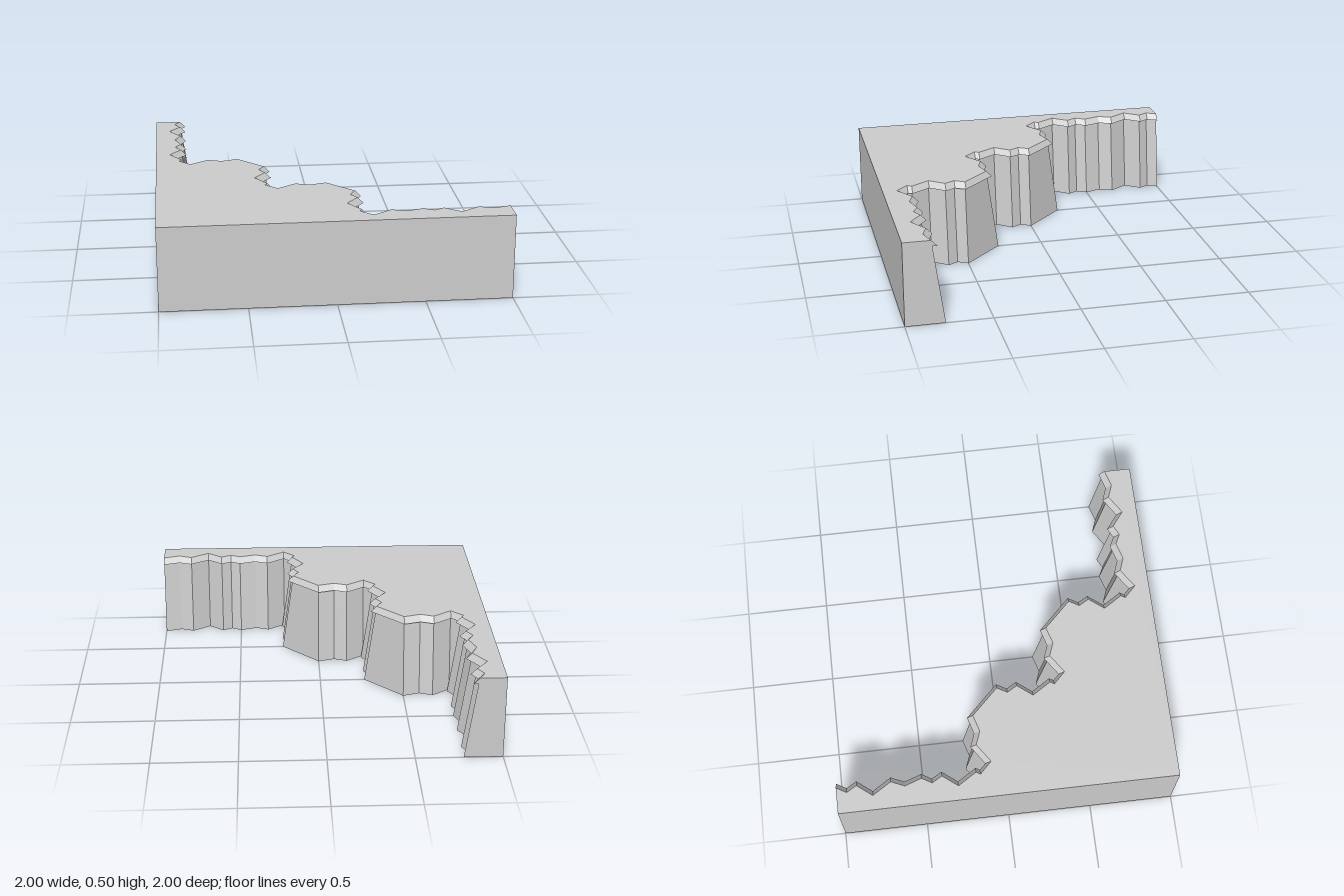
import * as THREE from 'three';

// Foot of the cliff as [x, z, kind]; kind 'v' recedes toward -x, 'h' toward +z.
const tag = (points, kind) => points.map(([x, z]) => [x, z, kind]);
const shift = (points, s) => points.map(([x, z]) => [x + s, z + s]);

function cliffLine() {
  // One step of the corner, repeated diagonally every half unit
  const stepV = [[-0.275, 0], [-0.31, 0.06], [-0.275, 0.12], [-0.345, 0.21], [-0.275, 0.32], [-0.29, 0.345]];
  const stepH = [[-0.29, 0.345], [-0.18, 0.27], [-0.1, 0.3], [0, 0.27]];
  const start = [[-0.775, -1], [-0.81, -0.94], [-0.775, -0.88], [-0.845, -0.79], [-0.775, -0.68], [-0.81, -0.6]];
  const end = [[0.56, 0.8], [0.62, 0.77], [0.71, 0.84], [0.82, 0.77], [0.9, 0.8], [1, 0.77]];
  const line = tag(start, 'v');
  for (const s of [-0.5, 0, 0.5]) line.push(...tag(shift(stepV, s), 'v'), ...tag(shift(stepH, s), 'h'));
  return line.concat(tag(end, 'h'));
}

const LINE = cliffLine();

// Closed outline at height y with the cliff set back by an inset
function ring(inset, y) {
  const pts = LINE.map(([x, z, kind]) =>
    kind === 'v' ? new THREE.Vector3(x - inset, y, z) : new THREE.Vector3(x, y, z + inset));
  for (const [x, z] of [[1, 1], [-1, 1], [-1, -1]]) pts.push(new THREE.Vector3(x, y, z));
  return pts;
}

// Side faces between two outlines
function band(lower, upper, count = lower.length) {
  const tris = [];
  for (let i = 0; i < count; i++) {
    const j = (i + 1) % lower.length;
    tris.push(lower[i], upper[i], upper[j], lower[i], upper[j], lower[j]);
  }
  return tris;
}

// Flat face filling an outline, facing up or down
function cap(outline, up) {
  const flat = outline.map((p) => new THREE.Vector2(p.x, p.z));
  const tris = [];
  for (const [a, b, c] of THREE.ShapeUtils.triangulateShape(flat, [])) {
    const cross = flat[b].clone().sub(flat[a]).cross(flat[c].clone().sub(flat[a]));
    const facesUp = cross < 0;
    tris.push(outline[a], ...(facesUp === up ? [outline[b], outline[c]] : [outline[c], outline[b]]));
  }
  return tris;
}

function part(name, tris) {
  const geometry = new THREE.BufferGeometry().setFromPoints(tris);
  geometry.computeVertexNormals();
  const mesh = new THREE.Mesh(geometry, new THREE.MeshStandardMaterial({ color: 0xcccccc, flatShading: true }));
  mesh.name = name;
  return mesh;
}

export function createModel() {
  const foot = ring(0, 0);
  const wallTop = ring(0.065, 0.465);
  const lipEdge = ring(0.035, 0.465);
  const rim = ring(0.07, 0.5);

  const group = new THREE.Group();
  group.name = 'cliffCorner';
  group.add(
    part('cliffWalls', band(foot, wallTop)),
    // Overhanging lip: underside, then slope up to the rim
    part('lip', [...band(wallTop, lipEdge, LINE.length - 1), ...band(lipEdge, rim)]),
    part('groundTop', cap(rim, true)),
    part('base', cap(foot, false)),
  );
  return group;
}
